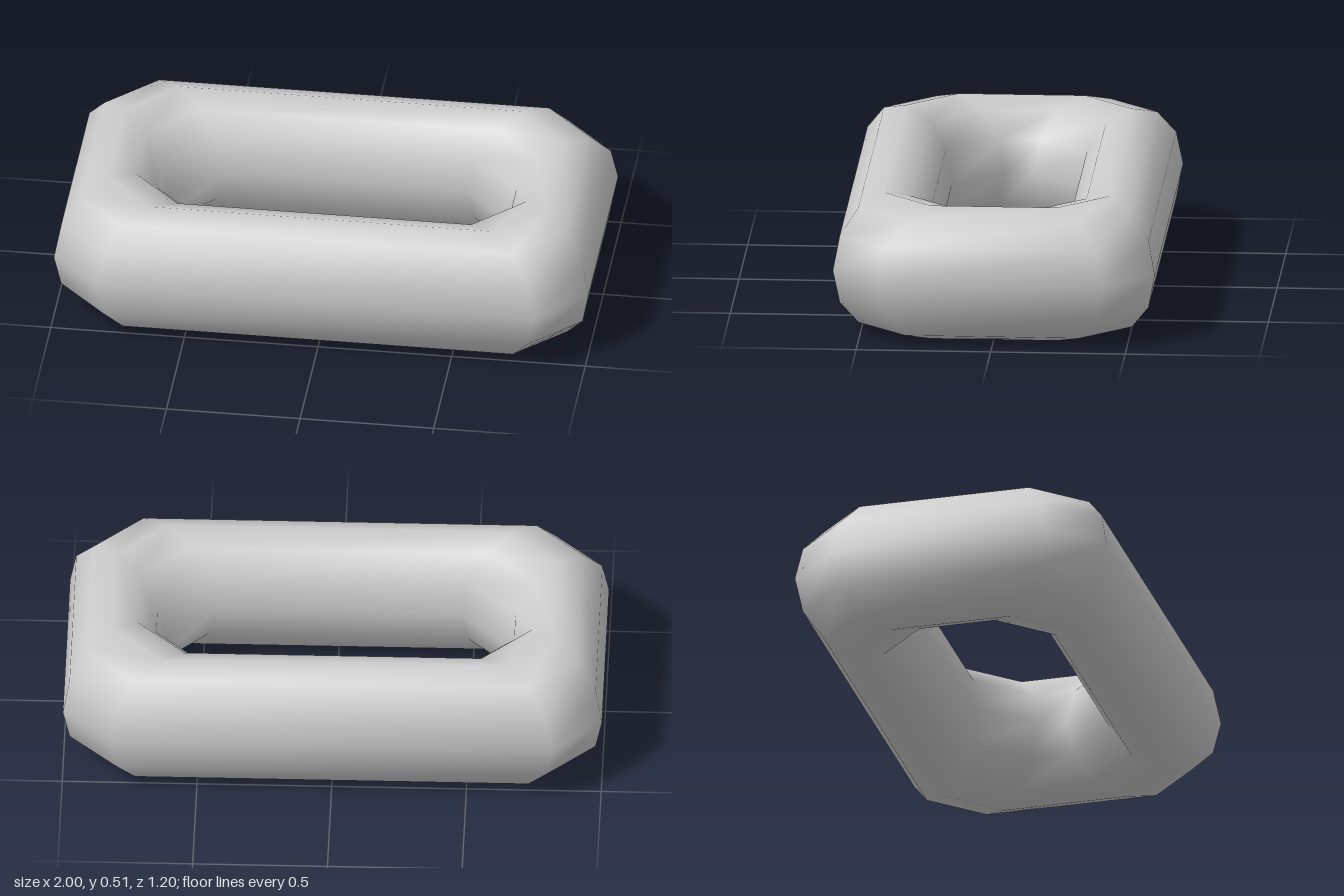
import * as THREE from 'three';

const RADIUS = 0.255; // round section, set on the diagonal at each corner
const SIDES = 12;

// Rings of a closed tube, joined into one smooth indexed surface
function closedTube(rings) {
  const positions = [];
  const index = [];
  for (const { x, z, dx, dz } of rings) {
    for (let j = 0; j < SIDES; j++) {
      const a = (j / SIDES) * Math.PI * 2;
      const out = RADIUS * Math.cos(a);
      positions.push(x + dx * out, RADIUS + RADIUS * Math.sin(a), z + dz * out);
    }
  }
  const n = rings.length;
  for (let i = 0; i < n; i++) {
    for (let j = 0; j < SIDES; j++) {
      const k = (j + 1) % SIDES;
      const next = (i + 1) % n;
      const a = i * SIDES + j, b = i * SIDES + k;
      const c = next * SIDES + k, d = next * SIDES + j;
      index.push(a, b, d, b, c, d);
    }
  }
  const geometry = new THREE.BufferGeometry();
  geometry.setAttribute('position', new THREE.Float32BufferAttribute(positions, 3));
  geometry.setIndex(index);
  geometry.computeVertexNormals();
  return geometry;
}

export function createModel() {
  const group = new THREE.Group();
  group.name = 'chainLink';

  // Two rings per bevelled corner, going round from +x towards +z
  const rings = [];
  for (const [sx, sz] of [[1, 1], [-1, 1], [-1, -1], [1, -1]]) {
    const dx = sx * Math.SQRT1_2, dz = sz * Math.SQRT1_2;
    const pair = [
      { x: sx * 0.82, z: sz * 0.235, dx, dz },
      { x: sx * 0.64, z: sz * 0.418, dx, dz },
    ];
    rings.push(...(sx * sz > 0 ? pair : pair.reverse()));
  }

  const link = new THREE.Mesh(
    closedTube(rings),
    new THREE.MeshStandardMaterial({ color: 0xcccccc })
  );
  link.name = 'linkBody';
  group.add(link);
  return group;
}
